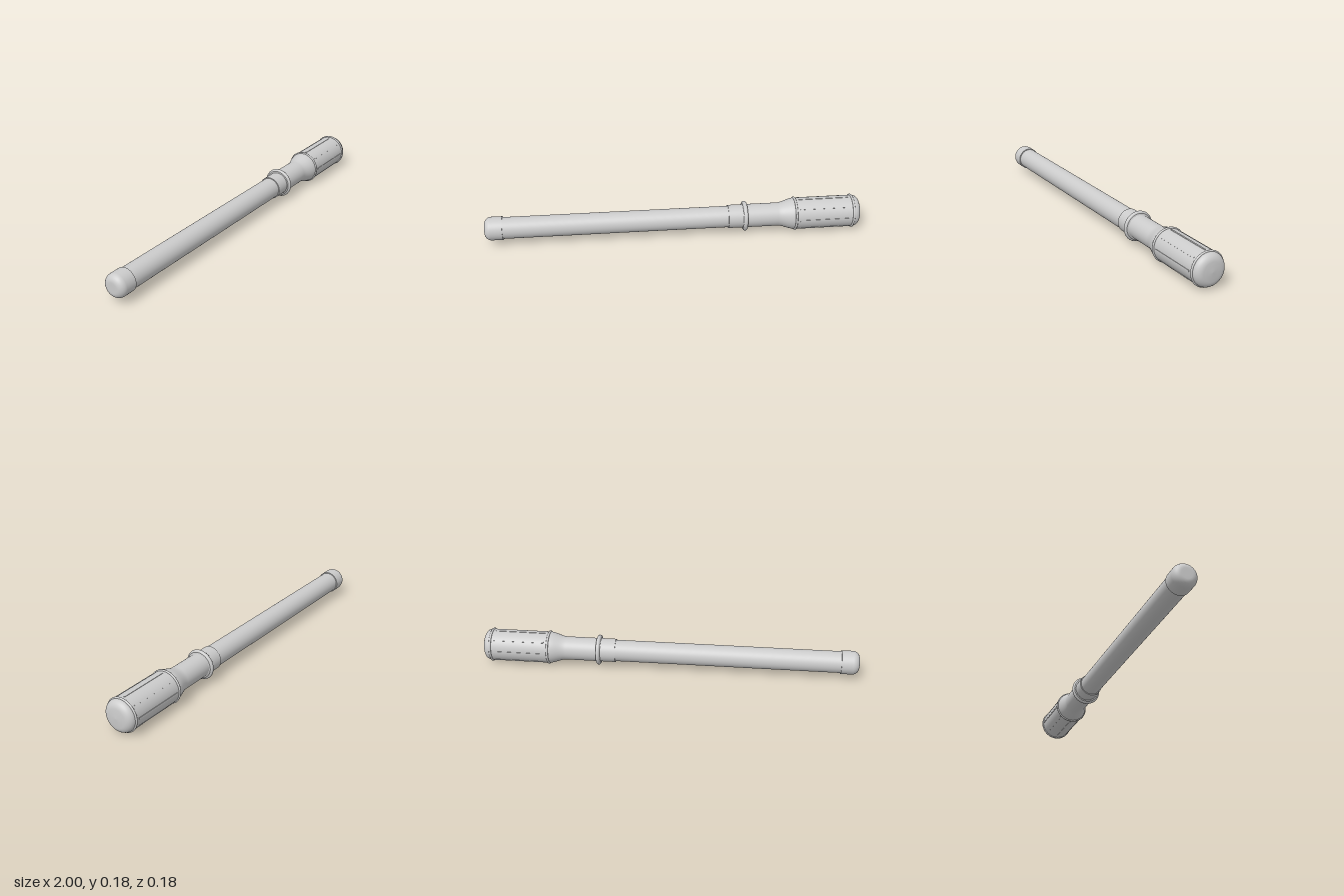
import * as THREE from 'three';

const AXIS_Y = 0.09;
const material = new THREE.MeshStandardMaterial({ color: 0xcccccc });

// Quarter-round corner points around (cx, cr), from angle a0 to a1
function corner(cx, cr, rx, rr, a0, a1, steps = 8) {
  return Array.from({ length: steps + 1 }, (_, i) => {
    const a = a0 + (a1 - a0) * i / steps;
    return [cx + rx * Math.cos(a), cr + rr * Math.sin(a)];
  });
}

export function createModel() {
  const model = new THREE.Group();

  // Turned part: profile of [x, radius] running towards +x
  function turned(name, profile) {
    const points = profile.map(([x, r]) => new THREE.Vector2(Math.max(r, 0), x));
    const mesh = new THREE.Mesh(new THREE.LatheGeometry(points, 64), material);
    mesh.name = name;
    mesh.rotation.z = -Math.PI / 2;
    mesh.position.y = AXIS_Y;
    model.add(mesh);
  }

  function ring(name, x, radius, tube) {
    const mesh = new THREE.Mesh(new THREE.TorusGeometry(radius - tube, tube, 16, 64), material);
    mesh.name = name;
    mesh.rotation.y = Math.PI / 2;
    mesh.position.set(x, AXIS_Y, 0);
    model.add(mesh);
  }

  // Long shaft and its rounded tip cap
  turned('shaft', [[-0.92, 0.057], [0.3, 0.057]]);
  turned('tipCap', [[-1, 0], [-1, 0.015], ...corner(-0.965, 0.027, 0.035, 0.035, Math.PI, Math.PI / 2), [-0.905, 0.062]]);
  turned('tipCapEdge', [[-0.905, 0.062], [-0.905, 0.056]]);

  // Ferrule with collar
  turned('ferruleEdge', [[0.285, 0.056], [0.285, 0.062]]);
  turned('ferrule', [[0.285, 0.062], [0.375, 0.062]]);
  ring('collar', 0.375, 0.08, 0.011);
  turned('collarWeb', [[0.364, 0.06], [0.364, 0.07], [0.386, 0.07], [0.386, 0.06]]);

  // Neck flaring smoothly into the grip
  const flare = Array.from({ length: 13 }, (_, i) => {
    const t = i / 12;
    return [0.55 + 0.095 * t, 0.062 + 0.022 * t * t * (3 - 2 * t)];
  });
  turned('neck', [[0.375, 0.062], [0.5, 0.062], ...flare]);

  // Grip and domed end
  turned('grip', [[0.645, 0.084], [0.955, 0.084]]);
  turned('gripEnd', [[0.955, 0.084], ...corner(0.96, 0.044, 0.036, 0.04, Math.PI / 2, 0.12), [0.998, 0.03], [1, 0]]);
  ring('gripRingInner', 0.645, 0.09, 0.006);
  ring('gripRingOuter', 0.955, 0.09, 0.006);

  // Slim ridges along the grip
  for (let i = 0; i < 8; i++) {
    const a = i * Math.PI / 4;
    const ridge = new THREE.Mesh(new THREE.BoxGeometry(0.27, 0.008, 0.008), material);
    ridge.name = 'gripRidge';
    ridge.position.set(0.8, AXIS_Y + 0.082 * Math.cos(a), 0.082 * Math.sin(a));
    ridge.rotation.x = a;
    model.add(ridge);
  }

  return model;
}
